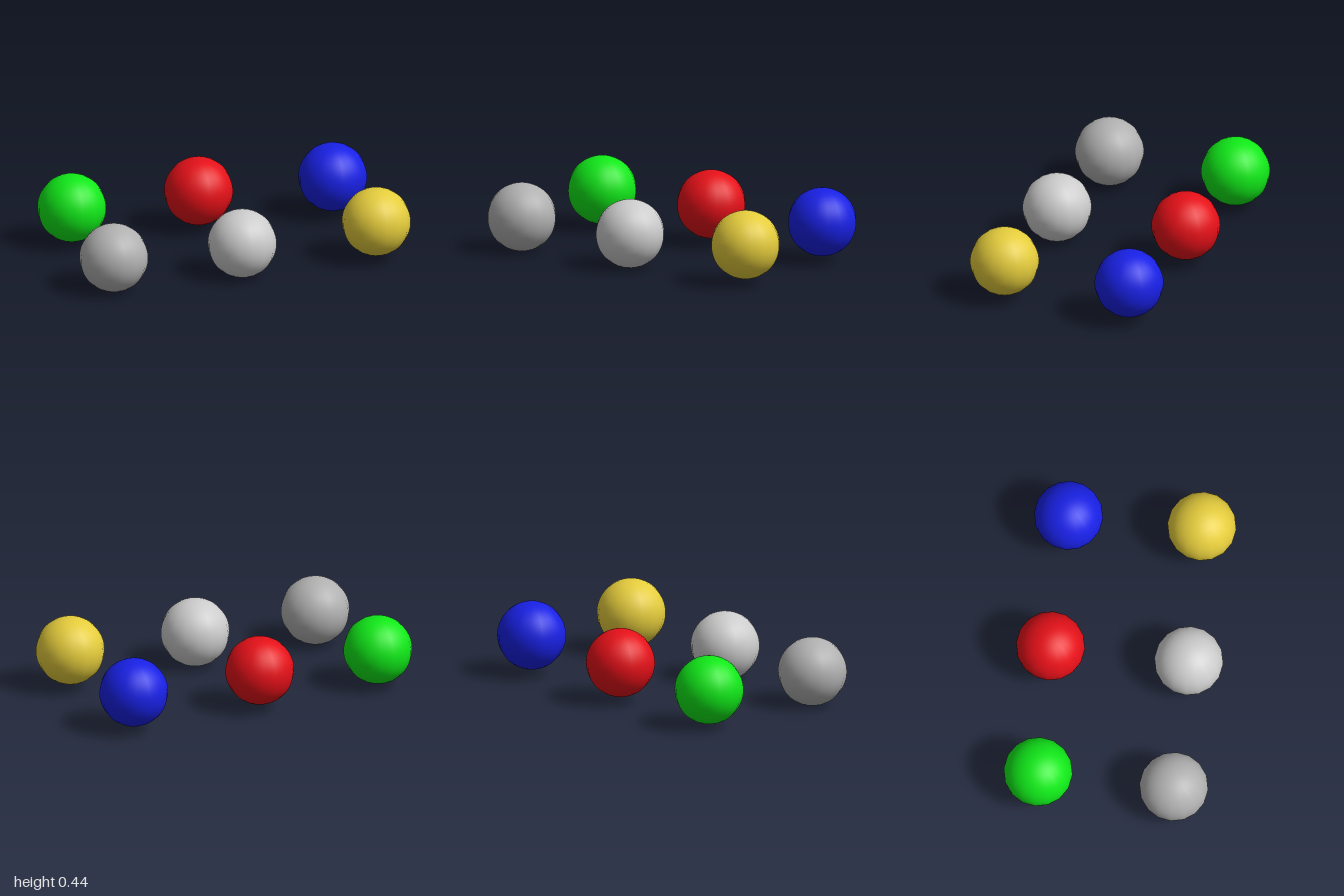
import * as THREE from 'three';

// name, colour, centre of each ball
const BALLS = [
  ['greyBall', 0xb0b0b0, [-0.8, 0.2, 0.38]],
  ['lightGreyBall', 0xcccccc, [-0.02, 0.2, 0.4]],
  ['yellowBall', 0xe4cc3c, [0.8, 0.235, 0.405]],
  ['greenBall', 0x10e818, [-0.785, 0.225, -0.41]],
  ['redBall', 0xe41018, [-0.01, 0.235, -0.405]],
  ['blueBall', 0x1820e4, [0.8, 0.235, -0.37]],
];

export function createModel() {
  const group = new THREE.Group();
  group.name = 'balls';
  // 16 sides around, finer rings from pole to pole
  const sphere = new THREE.SphereGeometry(0.2, 16, 32);
  for (const [name, color, centre] of BALLS) {
    const ball = new THREE.Mesh(sphere, new THREE.MeshStandardMaterial({ color }));
    ball.name = name;
    ball.position.set(...centre);
    group.add(ball);
  }
  return group;
}
